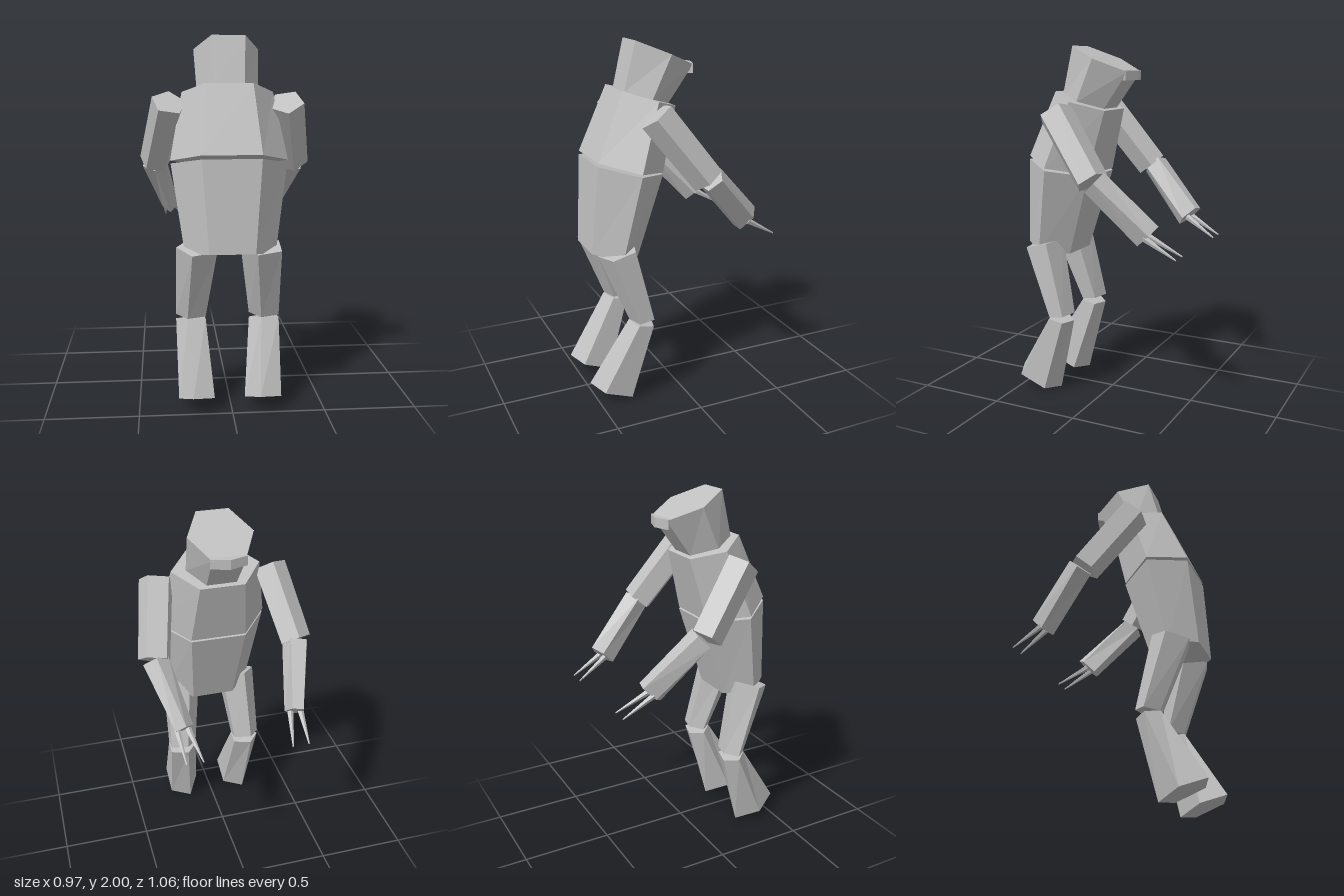
import * as THREE from 'three';

const V = (x, y, z) => new THREE.Vector3(x, y, z);
const rad = THREE.MathUtils.degToRad;

// Polygon ring: centre c, half-axes u and v, n corners starting at the given angle
function ring(c, u, v, n, start) {
  return Array.from({ length: n }, (_, i) => {
    const a = rad(start + (360 * i) / n);
    return c.clone().addScaledVector(u, Math.cos(a)).addScaledVector(v, Math.sin(a));
  });
}

// Closed solid between two rings with the same number of corners
function loft(a, b) {
  const n = a.length, tris = [];
  for (let i = 0; i < n; i++) {
    const j = (i + 1) % n;
    tris.push([a[i], a[j], b[j]], [a[i], b[j], b[i]]);
    if (i > 0 && i < n - 1) tris.push([a[0], a[i + 1], a[i]], [b[0], b[i], b[i + 1]]);
  }
  // Signed volume about a corner tells which way the faces look
  let volume = 0;
  for (const [p, q, r] of tris) {
    volume += p.clone().sub(a[0]).dot(q.clone().sub(a[0]).cross(r.clone().sub(a[0])));
  }
  const pts = tris.flatMap(([p, q, r]) => (volume > 0 ? [p, q, r] : [p, r, q]));
  const g = new THREE.BufferGeometry().setFromPoints(pts);
  g.computeVertexNormals();
  return g;
}

// Straight limb from p to q; radii are [across, up-down] at each end
function limb(p, q, r0, r1, n, start) {
  const axis = q.clone().sub(p).normalize();
  const u = V(1, 0, 0).addScaledVector(axis, -axis.x).normalize();
  const v = axis.clone().cross(u);
  const end = (c, r) => ring(c, u.clone().multiplyScalar(r[0]), v.clone().multiplyScalar(r[1]), n, start);
  return loft(end(p, r0), end(q, r1));
}

export function createModel() {
  const group = new THREE.Group();
  const grey = new THREE.MeshStandardMaterial({ color: 0xc0c0c0 });
  grey.name = 'plain grey';
  const add = (name, geometry) => {
    const mesh = new THREE.Mesh(geometry, grey);
    mesh.name = name;
    group.add(mesh);
  };

  // Six-sided head, chest and abdomen: [half width, centre y, z, depth y, z]
  const hex = ([w, y, z, dy, dz]) => ring(V(0, y, z), V(w, 0, 0), V(0, dy, dz), 6, 0);
  add('head', loft(hex([0.18, 1.93, 0.037, 0.081, 0.194]), hex([0.167, 1.695, 0.143, 0.046, 0.147])));
  add('chest', loft(hex([0.25, 1.7, 0.143, 0.058, 0.177]), hex([0.318, 1.34, 0.265, 0.052, 0.214])));
  add('abdomen', loft(hex([0.315, 1.325, 0.265, 0.046, 0.216]), hex([0.245, 0.845, 0.352, 0.029, 0.156])));

  // Five-sided visor across the face
  const visorRing = (y) => ring(V(0, y, -0.112), V(0.105, 0, 0), V(0, 0, 0.045), 5, -90);
  add('visor', loft(visorRing(1.867), visorRing(1.814)));

  for (const [side, s] of [['left', 1], ['right', -1]]) {
    // Five-sided legs, with the same corner order on both sides
    const pent = ([x, y, z, w, dy, dz]) => ring(V(s * x, y, z), V(w, 0, 0), V(0, dy, dz), 5, 180);
    add(side + 'Thigh', loft(
      pent([0.173, 0.885, 0.355, 0.119, -0.029, 0.11]),
      pent([0.204, 0.478, 0.228, 0.09, -0.011, 0.072])));
    add(side + 'Shin', loft(
      pent([0.204, 0.453, 0.232, 0.09, 0.014, 0.072]),
      pent([0.18, 0.05, 0.4, 0.105, 0.052, 0.137])));

    // Arms reaching out
    add(side + 'UpperArm', limb(
      V(s * 0.32, 1.645, 0.19), V(s * 0.398, 1.3, -0.072), [0.097, 0.097], [0.092, 0.092], 5, s * 90));
    add(side + 'Forearm', limb(
      V(s * 0.4, 1.3, -0.09), V(s * 0.312, 1.02, -0.355), [0.076, 0.076], [0.053, 0.085], 5, -s * 90));

    // Two thin claws on each hand
    for (const [name, bx, tx] of [['OuterClaw', 0.347, 0.339], ['InnerClaw', 0.288, 0.248]]) {
      add(side + name, limb(
        V(s * bx, 1.015, -0.35), V(s * tx, 0.914, -0.527), [0.018, 0.018], [0.004, 0.004], 5, -90));
    }
  }
  return group;
}
